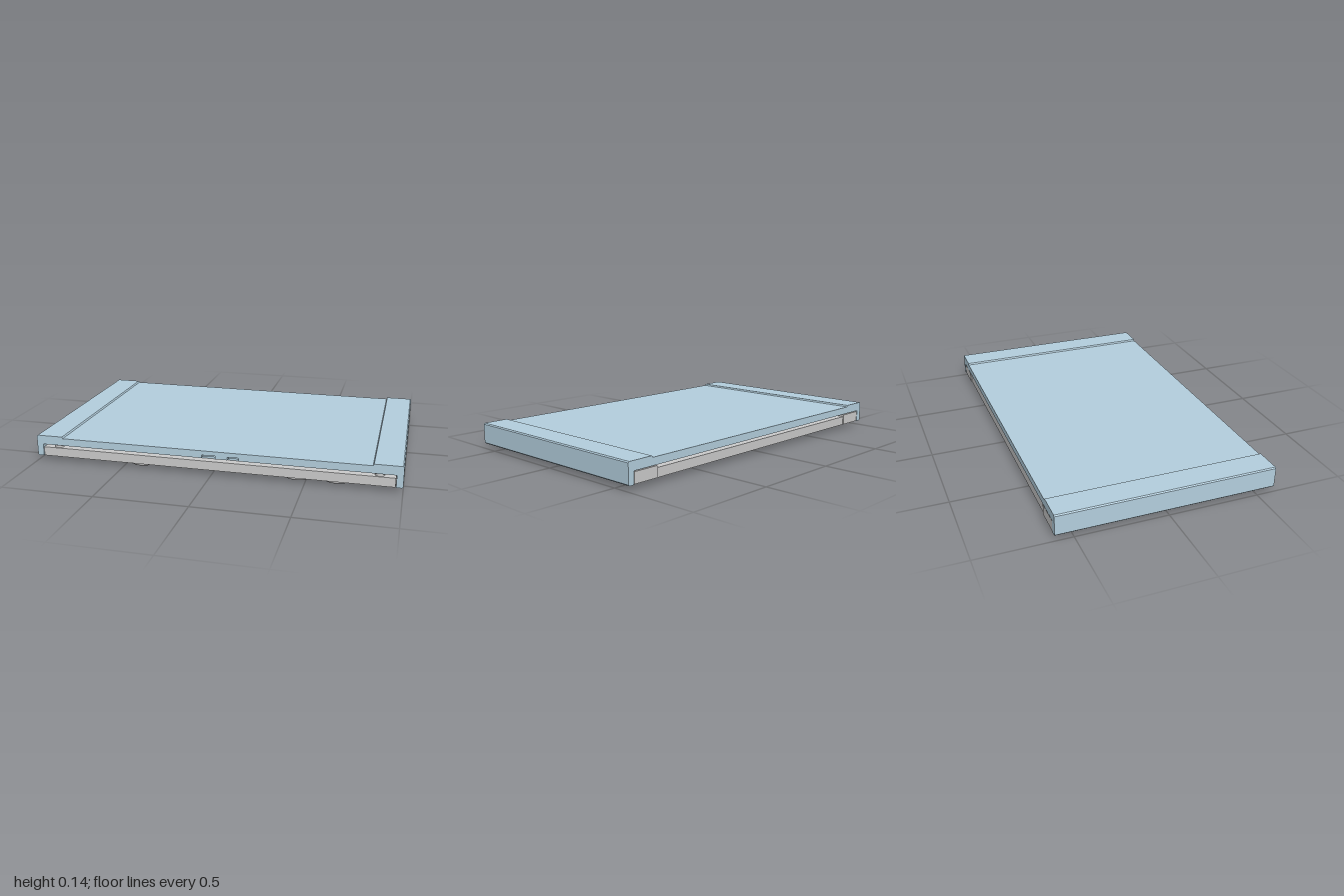
import * as THREE from 'three';

const blue = new THREE.MeshStandardMaterial({ color: 0xb4cfde });
const grey = new THREE.MeshStandardMaterial({ color: 0xcccccc });

// Button centres [x, z] on the underside
const BUTTONS = [
  [0.857, 0.21], [0.86, 0.416], [0.653, 0.271], [0.658, 0.475],
  [0.443, 0.272], [0.448, 0.476], [0.235, 0.195], [0.24, 0.398],
  [0.372, -0.098], [0.23, -0.266], [0.093, -0.43], [-0.123, -0.431],
  [0.171, -0.07], [0.03, -0.239], [-0.259, -0.268], [0.003, 0.247],
  [-0.26, 0.14], [-0.44, 0.267], [-0.413, 0.475], [-0.65, 0.304], [-0.857, 0.243],
];

function add(parent, name, geometry, material, x = 0, y = 0, z = 0) {
  const mesh = new THREE.Mesh(geometry, material);
  mesh.name = name;
  mesh.position.set(x, y, z);
  parent.add(mesh);
  return mesh;
}

// Box given by its lower and upper limits
function block(parent, name, material, [x0, x1], [y0, y1], [z0, z1]) {
  return add(parent, name, new THREE.BoxGeometry(x1 - x0, y1 - y0, z1 - z0), material,
    (x0 + x1) / 2, (y0 + y1) / 2, (z0 + z1) / 2);
}

// Channel-shaped cross-section, with optional notches in the inner ceiling
function shellSection(notches) {
  const c = 0.006, low = 0.028, top = 0.145, ceiling = 0.095;
  const points = [
    [-0.965, low], [-1 + c, low], [-1, low + c], [-1, top - c], [-1 + c, top],
    [-0.85, top], [-0.845, 0.136], [0.845, 0.136], [0.85, top],
    [1 - c, top], [1, top - c], [1, low + c], [1 - c, low], [0.965, low], [0.965, ceiling],
  ];
  for (const [a, b] of notches) points.push([b, ceiling], [b, 0.112], [a, 0.112], [a, ceiling]);
  points.push([-0.965, ceiling]);
  return new THREE.Shape(points.map(([x, y]) => new THREE.Vector2(x, y)));
}

function extrudeShell(notches, z0, z1) {
  const g = new THREE.ExtrudeGeometry(shellSection(notches), { depth: z1 - z0, bevelEnabled: false });
  return g.translate(0, 0, z0);
}

export function createModel() {
  const model = new THREE.Group();
  model.name = 'slimCase';

  // Sliding cover: main channel and notched front lip
  const cover = new THREE.Group();
  cover.name = 'cover';
  model.add(cover);
  add(cover, 'coverChannel', extrudeShell([], -0.597, 0.57), blue);
  add(cover, 'coverFrontLip', extrudeShell([[0.09, 0.15], [-0.05, 0.025]], 0.57, 0.597), blue);
  block(cover, 'coverInnerRib', blue, [-0.965, 0.965], [0.07, 0.095], [-0.54, 0.55]);

  // Controller body: solid core and face plate with round button holes
  const body = new THREE.Group();
  body.name = 'body';
  model.add(body);
  block(body, 'bodyCore', grey, [-0.962, 0.962], [0.035, 0.078], [-0.59, 0.594]);
  const face = new THREE.Shape();
  face.moveTo(-0.962, -0.594).lineTo(0.962, -0.594).lineTo(0.962, 0.59).lineTo(-0.962, 0.59).closePath();
  for (const [x, z] of BUTTONS) {
    face.holes.push(new THREE.Path().absarc(x, -z, 0.096, 0, Math.PI * 2, true));
  }
  const faceGeometry = new THREE.ExtrudeGeometry(face, { depth: 0.007, bevelEnabled: false, curveSegments: 20 });
  add(body, 'facePlate', faceGeometry.rotateX(-Math.PI / 2), grey, 0, 0.028, 0);

  // Back end blocks and small front screws, mirrored
  for (const s of [-1, 1]) {
    block(body, 'backEndBlock', grey, [s * 0.887 - 0.075, s * 0.887 + 0.075], [0.03, 0.09], [-0.596, -0.54]);
    add(body, 'frontScrew', new THREE.CylinderGeometry(0.025, 0.025, 0.014, 24), grey, s * 0.88, 0.084, 0.565);
  }

  // Buttons: short round caps with a softened lower rim
  const profile = [[0, 0], [0.07, 0], [0.078, 0.002], [0.084, 0.006], [0.0875, 0.013], [0.0875, 0.036]]
    .map(([r, y]) => new THREE.Vector2(r, y));
  const cap = new THREE.LatheGeometry(profile, 40);
  const buttons = new THREE.Group();
  buttons.name = 'buttons';
  model.add(buttons);
  for (const [x, z] of BUTTONS) add(buttons, 'button', cap, grey, x, 0, z);

  return model;
}
